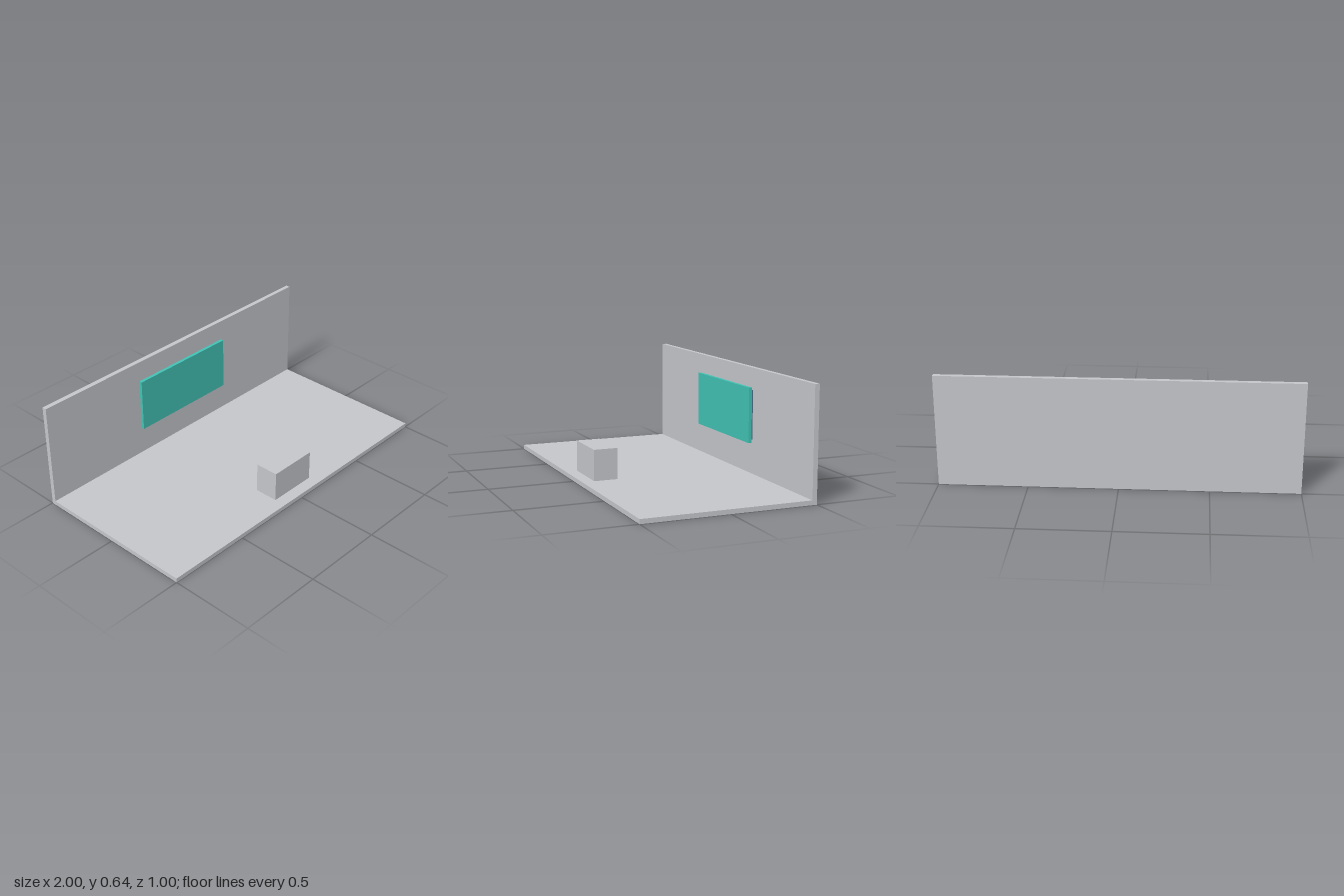
import * as THREE from 'three';

const paint = (name, color) => {
  const m = new THREE.MeshStandardMaterial({ color });
  m.name = name;
  return m;
};

// Box given by its minimum and maximum corners
function box(name, [x0, y0, z0], [x1, y1, z1], material) {
  const mesh = new THREE.Mesh(new THREE.BoxGeometry(x1 - x0, y1 - y0, z1 - z0), material);
  mesh.position.set((x0 + x1) / 2, (y0 + y1) / 2, (z0 + z1) / 2);
  mesh.name = name;
  return mesh;
}

export function createModel() {
  const group = new THREE.Group();
  const grey = paint('light grey', 0xc3c5c9);
  const teal = paint('teal', 0x41c1b3);
  const slate = paint('slate blue', 0x4a6f86);

  // Floor and back wall: one L-shaped section (u = -z, v = y) swept along x
  const section = new THREE.Shape([
    [-0.5, 0], [0.5, 0], [0.5, 0.64], [0.473, 0.64], [0.473, 0.026], [-0.5, 0.026],
  ].map(([u, v]) => new THREE.Vector2(u, v)));
  const sweep = new THREE.ExtrudeGeometry(section, { depth: 2, bevelEnabled: false });
  sweep.translate(0, 0, -1).rotateY(Math.PI / 2);
  const stage = new THREE.Mesh(sweep, grey);
  stage.name = 'floorAndBackWall';
  group.add(stage);

  // Block near the front edge
  group.add(box('frontBlock', [-0.147, 0.026, 0.29], [0.147, 0.205, 0.43], grey));

  // Screen with a smaller backing plate, standing just off the wall
  group.add(box('screenBacking', [-0.33, 0.229, -0.465], [0.33, 0.514, -0.454], slate));
  group.add(box('screen', [-0.34, 0.212, -0.454], [0.34, 0.531, -0.435], teal));

  return group;
}
